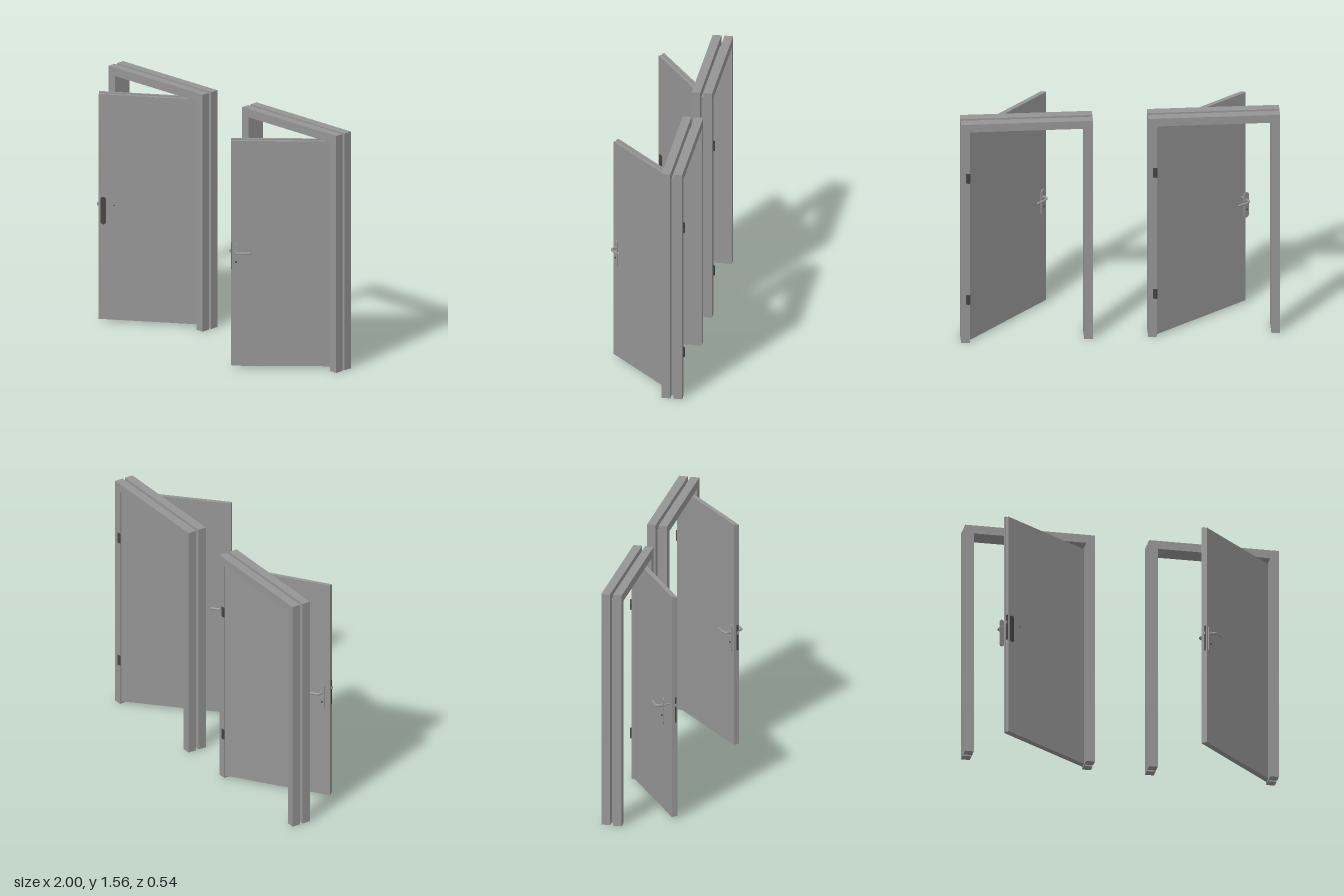
import * as THREE from 'three';

const grey = new THREE.MeshStandardMaterial({ color: 0x959595 });
grey.name = 'paintedGrey';
const dark = new THREE.MeshStandardMaterial({ color: 0x454545 });
dark.name = 'darkMetal';

const W = 0.827, H = 1.56, BAR = 0.055;   // frame width, height, member width
const LEAF_W = 0.715, LEAF_T = 0.039;     // door leaf

function add(parent, name, geo, x = 0, y = 0, z = 0, mat = grey) {
  const m = new THREE.Mesh(geo, mat);
  m.name = name;
  m.position.set(x, y, z);
  parent.add(m);
  return m;
}

const box = (w, h, d) => new THREE.BoxGeometry(w, h, d);

// Upside-down U, open at the floor, extruded along z
function portal(width, height, bar, depth) {
  const a = width / 2, b = a - bar, t = height - bar;
  const s = new THREE.Shape([
    [-a, 0], [-b, 0], [-b, t], [b, t], [b, 0], [a, 0], [a, height], [-a, height],
  ].map(([x, y]) => new THREE.Vector2(x, y)));
  return new THREE.ExtrudeGeometry(s, { depth, bevelEnabled: false });
}

// Flat plate with round ends, lying in xy, centred
function roundPlate(w, h, d) {
  const r = w / 2, k = h / 2 - r;
  const s = new THREE.Shape();
  s.absarc(0, k, r, 0, Math.PI, false);
  s.absarc(0, -k, r, Math.PI, Math.PI * 2, false);
  return new THREE.ExtrudeGeometry(s, { depth: d, bevelEnabled: false, curveSegments: 10 });
}

// Escutcheon, lever and key cylinder; points out along +z, lever towards +x
function handle(lever, plateMat = grey) {
  const g = new THREE.Group();
  g.name = 'handle';
  add(g, 'handlePlate', roundPlate(0.036, 0.18, 0.007), 0, 0.73, 0, plateMat);
  if (lever) {
    const path = new THREE.CatmullRomCurve3([
      [0, 0, 0.005], [0, 0, 0.03], [0.01, 0, 0.041], [0.03, 0, 0.043], [0.085, 0, 0.04],
    ].map((p) => new THREE.Vector3(...p)));
    add(g, 'lever', new THREE.TubeGeometry(path, 20, 0.007, 10), 0, 0.768, 0);
    add(g, 'leverTip', new THREE.SphereGeometry(0.007, 10, 8), 0.085, 0.768, 0.04);
    const collar = add(g, 'leverCollar', new THREE.CylinderGeometry(0.011, 0.011, 0.01, 16), 0, 0.768, 0.011);
    collar.rotation.x = Math.PI / 2;
    const key = add(g, 'keyCylinder', new THREE.CylinderGeometry(0.006, 0.006, 0.006, 12), 0, 0.7, 0.009, dark);
    key.rotation.x = Math.PI / 2;
  }
  return g;
}

function doorUnit(name, cx, angle, looseHandles) {
  const unit = new THREE.Group();
  unit.name = name;
  unit.position.x = cx;

  // Two casings with a gap between them, bridged by a thin lining
  add(unit, 'frontCasing', portal(W, H, BAR, 0.055), 0, 0, -0.185);
  add(unit, 'backCasing', portal(W, H, BAR, 0.055), 0, 0, -0.26);
  add(unit, 'frameLining', portal(W - 2 * BAR + 0.008, H - BAR + 0.004, 0.004, 0.02), 0, 0, -0.205);

  // Leaf swings about the hinge line at the back of the frame
  const pivot = W / 2 - 0.045;
  const leaf = new THREE.Group();
  leaf.name = 'doorLeaf';
  leaf.position.set(pivot, 0, -0.26);
  leaf.rotation.y = THREE.MathUtils.degToRad(angle);
  unit.add(leaf);
  add(leaf, 'frontPanel', box(LEAF_W - 0.01, 1.48, 0.022), -LEAF_W / 2 - 0.005, 0.755, LEAF_T - 0.011);
  add(leaf, 'rebatePanel', box(LEAF_W, 1.488, 0.017), -LEAF_W / 2 - 0.002, 0.759, 0.0085);
  add(leaf, 'lockFaceplate', box(0.003, 0.17, 0.012), -LEAF_W - 0.001, 0.735, LEAF_T - 0.012, dark);
  add(leaf, 'latch', box(0.012, 0.018, 0.009), -LEAF_W - 0.004, 0.768, LEAF_T - 0.012);

  // Handles on both faces
  const hx = -LEAF_W + 0.03;
  const front = handle(!looseHandles, looseHandles ? dark : grey);
  front.position.set(hx, 0, looseHandles ? LEAF_T - 0.004 : LEAF_T);
  leaf.add(front);
  const back = handle(true);
  back.position.set(hx, 0, looseHandles ? -0.045 : 0);
  back.scale.z = 1;
  back.rotation.y = Math.PI;
  // turned to the other face, so the lever is mirrored back towards the hinge
  back.children.forEach((m) => {
    if (m.name === 'lever') m.rotation.z = Math.PI;
    if (m.name === 'leverTip') m.position.x *= -1;
  });
  leaf.add(back);
  if (looseHandles) {
    add(leaf, 'leverEnd', new THREE.SphereGeometry(0.005, 8, 6), hx + 0.07, 0.768, LEAF_T, dark);
    const spindle = add(leaf, 'spindle', new THREE.CylinderGeometry(0.005, 0.005, 0.05, 8), hx, 0.768, -0.022);
    spindle.rotation.x = Math.PI / 2;
  }

  // Hinges on the back of the frame
  for (const y of [0.308, 1.175]) {
    const hinge = new THREE.Group();
    hinge.name = 'hinge';
    hinge.position.set(pivot, y, -0.262);
    unit.add(hinge);
    add(hinge, 'hingePlate', box(0.028, 0.066, 0.004), 0, 0, 0, dark);
    for (const k of [-1, 0, 1]) {
      add(hinge, 'hingeKnuckle', new THREE.CylinderGeometry(0.006, 0.006, 0.021, 12), 0, k * 0.023, -0.002, dark);
    }
  }
  return unit;
}

export function createModel() {
  const g = new THREE.Group();
  g.name = 'doorPair';
  const x = 1 - W / 2;
  g.add(doorUnit('rightDoor', -x, 34.5, true));
  g.add(doorUnit('leftDoor', x, 43.5, false));
  return g;
}
